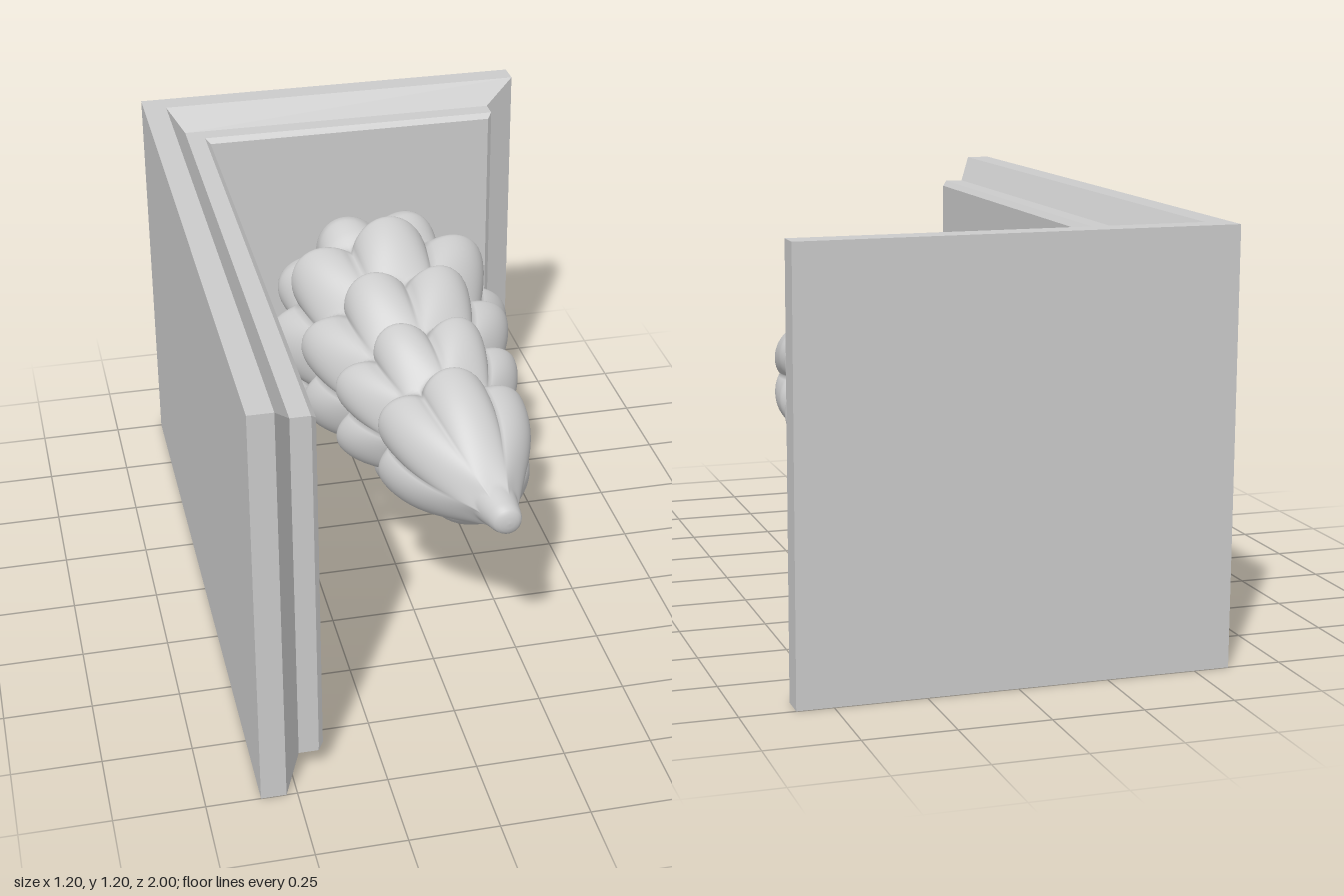
import * as THREE from 'three';
import { toCreasedNormals } from 'three/addons/utils/BufferGeometryUtils.js';

const material = new THREE.MeshStandardMaterial({ color: 0xcccccc });

function addPart(parent, name, geometry) {
  const mesh = new THREE.Mesh(geometry, material);
  mesh.name = name;
  parent.add(mesh);
  return mesh;
}

// Skin closed rings of [x, y, z] points, skipping collapsed triangles
function loft(rings) {
  const n = rings[0].length, index = [];
  const points = rings.flat().map((p) => new THREE.Vector3(...p));
  const tri = new THREE.Triangle();
  const face = (a, b, c) => {
    tri.set(points[a], points[b], points[c]);
    if (tri.getArea() > 1e-8) index.push(a, b, c);
  };
  for (let j = 0; j < rings.length - 1; j++) {
    for (let i = 0; i < n; i++) {
      const k = (i + 1) % n;
      face(j * n + i, j * n + k, (j + 1) * n + k);
      face(j * n + i, (j + 1) * n + k, (j + 1) * n + i);
    }
  }
  const g = new THREE.BufferGeometry().setFromPoints(points);
  g.setIndex(index);
  g.computeVertexNormals();
  return g;
}

// Smooth interpolation through [z, value] pairs
function sample(table, z) {
  if (z <= table[0][0]) return table[0][1];
  for (let i = 1; i < table.length; i++) {
    const [z0, v0] = table[i - 1], [z1, v1] = table[i];
    if (z <= z1) return v0 + (v1 - v0) * (z - z0) / (z1 - z0);
  }
  return table[table.length - 1][1];
}

// L-shaped wall outline: base depth a, bevel depth m, panel depth s, end inset e
function wallRing(y, a, m, s, e, round = 0) {
  const t = s - round, f = e + round;
  return [
    [-0.6, -1], [-0.6, 1], [-0.6 + a, 1], [-0.6 + m, 1 - e * 0.85],
    [-0.6 + t, 1 - e * 0.85], [-0.6 + s, 1 - e * 0.85 - round],
    [-0.6 + s, -1 + s], [0.6 - f, -1 + s], [0.6 - e, -1 + t],
    [0.6 - e, -1 + m], [0.6, -1 + a], [0.6, -1],
  ].map(([x, z]) => [x, y, z]);
}

function wallGeometry() {
  const H = 1.2;
  const steps = [
    [0, 0, 0, 0, 0],
    [0, 0.07, 0.07, 0.07, 0],
    [0.07, 0.07, 0.12, 0.12, 0.095],
    [0.07, 0.07, 0.12, 0.175, 0.095],
    [0.085, 0.07, 0.12, 0.19, 0.095, 0.014],
  ];
  const lower = steps.map((s) => wallRing(...s));
  const upper = steps.slice().reverse().map(([y, ...r]) => wallRing(H - y, ...r));
  return toCreasedNormals(loft([...lower, ...upper]), 0.5);
}

// Tree axis and inner radius along z
const axisX = [[-0.6, 0.065], [0, 0.075], [0.27, 0.1], [0.5, 0.13], [0.69, 0.163]];
const axisY = [[-0.6, 0.615], [0.27, 0.61], [0.5, 0.59], [0.69, 0.573]];
const core = [[-0.61, 0.27], [-0.5, 0.275], [-0.25, 0.245], [0, 0.2], [0.2, 0.16],
  [0.4, 0.115], [0.5, 0.088], [0.6, 0.062], [0.67, 0.045], [0.69, 0.034]];

// Tiers of rounded branches: crest position, radius, lobes, phase, back and front reach
const tiers = [
  { z: -0.56, r: 0.335, n: 8, phase: Math.PI / 8, back: 0.16, front: 0.13 },
  { z: -0.41, r: 0.385, n: 8, phase: 0, back: 0.1, front: 0.24 },
  { z: -0.18, r: 0.34, n: 8, phase: Math.PI / 8, back: 0.085, front: 0.24 },
  { z: 0.06, r: 0.29, n: 8, phase: Math.PI / 8, back: 0.08, front: 0.22 },
  { z: 0.28, r: 0.235, n: 6, phase: Math.PI / 2, back: 0.09, front: 0.32 },
];

function branchRadius(z, angle) {
  const base = sample(core, z);
  let sum = 0;
  for (const t of tiers) {
    const c = Math.abs(Math.cos((angle - t.phase) * t.n / 2));
    const lobe = Math.pow(c, 0.75);
    const crest = t.r * (0.77 + 0.23 * lobe);
    const d = z - (t.z + 0.025 * (1 - lobe));
    const u = Math.min(1, Math.abs(d) / (d < 0 ? t.back : t.front));
    const bump = d < 0 ? 0.5 + 0.5 * Math.cos(Math.PI * u) : Math.pow(1 - u * u, 1.3) * (1 - 0.35 * u);
    sum += Math.pow(Math.max(0, crest - base) * bump, 4);
  }
  return base + Math.pow(sum, 0.25);
}

function foliageGeometry() {
  const N = 144, M = 170, rings = [];
  const ring = (z, scale, zr = z) => {
    const x = sample(axisX, z), y = sample(axisY, z), out = [];
    for (let i = 0; i < N; i++) {
      const a = i / N * Math.PI * 2, r = branchRadius(zr, a) * scale;
      out.push([x + r * Math.cos(a), y + r * Math.sin(a), z]);
    }
    return out;
  };
  // Rounded back face
  rings.push(ring(-0.6, 0), ring(-0.605, 0.4), ring(-0.612, 0.8), ring(-0.612, 0.93), ring(-0.605, 0.98));
  for (let j = 0; j <= M; j++) rings.push(ring(-0.59 + 1.272 * j / M, 1));
  // Rounded tip
  rings.push(ring(0.688, 0.8), ring(0.691, 0.45), ring(0.692, 0));
  return loft(rings);
}

// Waisted trunk, flared at both ends
function trunkGeometry() {
  const profile = [[0.11, -0.83], [0.1, -0.815], [0.088, -0.79], [0.08, -0.75], [0.076, -0.7],
    [0.079, -0.66], [0.09, -0.63], [0.115, -0.61], [0.15, -0.6]];
  const curve = new THREE.SplineCurve(profile.map((p) => new THREE.Vector2(...p)));
  return new THREE.LatheGeometry(curve.getPoints(32), 48);
}

export function createModel() {
  const model = new THREE.Group();
  model.name = 'treeOnCornerPanels';
  addPart(model, 'cornerPanels', wallGeometry());

  const tree = new THREE.Group();
  tree.name = 'tree';
  model.add(tree);
  addPart(tree, 'foliage', foliageGeometry());
  const trunk = addPart(tree, 'trunk', trunkGeometry());
  trunk.rotation.x = Math.PI / 2;
  trunk.position.set(0.065, 0.612, 0);
  return model;
}
